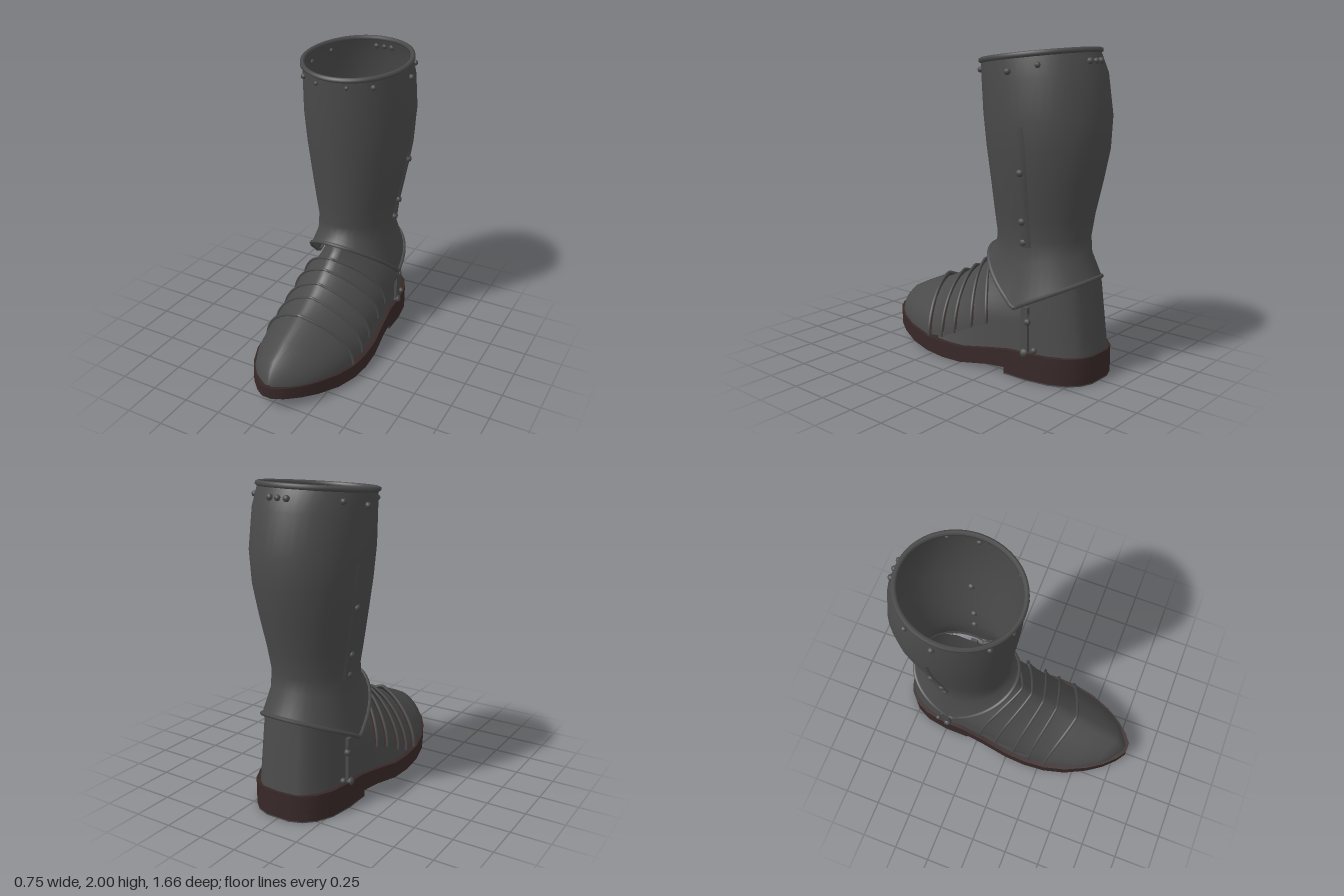
import * as THREE from 'three';
import { toCreasedNormals } from 'three/addons/utils/BufferGeometryUtils.js';

const V = (x, y, z) => new THREE.Vector3(x, y, z);
const lerp = THREE.MathUtils.lerp;

// Piecewise-linear lookup in [[key, value], ...] sorted by rising key
function lookup(table, k) {
  if (k <= table[0][0]) return table[0][1];
  for (let i = 1; i < table.length; i++) {
    const [a, va] = table[i - 1], [b, vb] = table[i];
    if (k <= b) return lerp(va, vb, (k - a) / (b - a));
  }
  return table[table.length - 1][1];
}

// Skin a list of cross-sections (rows of points); closed joins each row end to start
function skin(rows, closed) {
  const n = rows[0].length, index = [];
  for (let r = 0; r < rows.length - 1; r++) {
    for (let i = 0; i < (closed ? n : n - 1); i++) {
      const j = (i + 1) % n;
      const a = r * n + i, b = r * n + j, c = a + n, d = b + n;
      index.push(a, c, b, b, c, d);
    }
  }
  const g = new THREE.BufferGeometry().setFromPoints(rows.flat());
  g.setIndex(index);
  g.computeVertexNormals();
  return g;
}

export function createModel() {
  const grey = new THREE.MeshStandardMaterial({ color: 0x4a4a4a, side: THREE.DoubleSide });
  grey.name = 'darkSteel';
  const brown = new THREE.MeshStandardMaterial({ color: 0x382828, side: THREE.DoubleSide });
  brown.name = 'brownLeather';

  const boot = new THREE.Group();
  boot.name = 'boot';
  const add = (name, geometry, material = grey) => {
    const mesh = new THREE.Mesh(geometry, material);
    mesh.name = name;
    boot.add(mesh);
    return mesh;
  };
  const bead = (name, points, radius, closed) => add(name,
    new THREE.TubeGeometry(new THREE.CatmullRomCurve3(points, closed), points.length * 2, radius, 6, closed));

  // Shaft rings: front y, back y, front z, back z, half width, drop at the sides
  const rings = [
    [1.905, 1.983, 0.005, -0.73, 0.345, 0],
    [1.8, 1.85, 0, -0.79, 0.355, 0],
    [1.6, 1.6, -0.015, -0.828, 0.362, 0],
    [1.4, 1.4, -0.035, -0.82, 0.345, 0],
    [1.2, 1.2, -0.06, -0.78, 0.315, 0],
    [1.0, 1.0, -0.08, -0.735, 0.28, 0],
    [0.86, 0.86, -0.095, -0.715, 0.255, 0],
    [0.79, 0.77, -0.09, -0.722, 0.262, 0.09],
    [0.75, 0.63, -0.04, -0.785, 0.315, 0.24],
  ];
  const ringPoint = ([yf, yb, zf, zb, w, drop], a, out = 0) => {
    const c = Math.cos(a), k = (1 + c) / 2;
    return V((w + out) * Math.sin(a), lerp(yb, yf, k) - drop * (1 - Math.abs(c)),
      lerp(zb, zf, k) + out * c);
  };
  // Any shaft point by height and angle (0 = front)
  const shaftPoint = (y, a, out = 0) => {
    let i = 1;
    while (i < rings.length - 1 && ringPoint(rings[i], a).y > y) i++;
    const p = ringPoint(rings[i - 1], a, out), q = ringPoint(rings[i], a, out);
    return p.lerp(q, THREE.MathUtils.clamp((p.y - y) / (p.y - q.y), 0, 1));
  };
  const angles = Array.from({ length: 40 }, (_, i) => i / 40 * Math.PI * 2);
  add('shaft', skin(rings.map(r => angles.map(a => ringPoint(r, a))), true));
  bead('topRim', angles.map(a => ringPoint(rings[0], a)), 0.017, true);
  bead('ankleRim', angles.map(a => ringPoint(rings[8], a)), 0.014, true);

  // Side seams, hinge knuckles and rivets on the shaft
  const rivet = (y, a, r) => {
    const m = add('rivet', new THREE.SphereGeometry(r, 10, 8));
    m.position.copy(shaftPoint(y, a, 0.005));
  };
  for (const s of [1, -1]) {
    const heights = [1.55, 1.4, 1.25, 1.1, 0.95, 0.82];
    add('sideSeam', skin(heights.map((y, i) => [
      shaftPoint(y, s * 1.64, 0.002), shaftPoint(y, s * 1.66, 0.012),
      shaftPoint(y, s * (1.72 + i * 0.015), 0.012), shaftPoint(y, s * (1.78 + i * 0.015), 0.001)])));
    for (const y of [1.28, 0.98, 0.85]) rivet(y, s * 1.7, 0.024);
    rivet(1.86, s * 0.75, 0.018);
    rivet(1.86, s * 0.3, 0.014);
    rivet(1.86, s * 1.6, 0.02);
    rivet(1.9, s * 2.1, 0.018);
    rivet(1.92, Math.PI + s * 0.16, 0.02);
  }
  rivet(1.92, Math.PI, 0.018);

  // Foot arches: top z, top y, side z, side y, half width
  const arch = ([zt, yt, zs, ys, w], lift = 0) => Array.from({ length: 25 }, (_, i) => {
    const t = i / 24 * Math.PI, c = Math.cos(t), s = Math.sin(t);
    const h = 0.75 * s + 0.25 * (1 - Math.abs(c));
    return V((w + lift) * c, lerp(ys, yt + lift, h), lerp(zt, zs, Math.abs(c) ** 1.3));
  });
  const edges = [
    [0.41, 0.445, 0.29, 0.11, 0.325],
    [0.26, 0.5, 0.17, 0.13, 0.332],
    [0.16, 0.55, 0.06, 0.18, 0.33],
    [0.07, 0.61, -0.08, 0.25, 0.325],
    [0, 0.66, -0.2, 0.3, 0.318],
    [-0.07, 0.72, -0.52, 0.37, 0.295],
  ];
  add('toeCap', skin([
    [0.805, 0.17, 0.8, 0.15, 0.03],
    [0.775, 0.25, 0.725, 0.145, 0.135],
    [0.73, 0.295, 0.645, 0.14, 0.2],
    [0.6, 0.36, 0.5, 0.125, 0.272],
    edges[0],
  ].map(e => arch(e))));
  bead('toeCapRim', arch(edges[0], 0.004), 0.011, false);

  // Overlapping instep plates, each tucked under the one before
  for (let i = 0; i < 5; i++) {
    const a = edges[i], b = edges[i + 1];
    const mid = a.map((v, k) => lerp(v, b[k], 0.5));
    add('instepPlate', skin([arch(a, -0.022), arch(mid, -0.018), arch(b, 0)]));
    if (i < 4) bead('instepPlateRim', arch(b, 0.002), 0.009, false);
  }

  // Sole outline: z against half width
  const outline = [[-0.84, 0.08], [-0.81, 0.16], [-0.75, 0.225], [-0.65, 0.275], [-0.5, 0.3],
    [-0.35, 0.302], [-0.2, 0.318], [0, 0.345], [0.15, 0.353], [0.3, 0.343], [0.45, 0.308],
    [0.6, 0.24], [0.7, 0.175], [0.78, 0.1], [0.825, 0.035]];
  const soleTop = [[-0.84, 0.175], [-0.4, 0.17], [-0.2, 0.14], [0, 0.108], [0.25, 0.105],
    [0.5, 0.13], [0.83, 0.165]];
  const soleBottom = [[-0.84, 0.06], [-0.33, 0.045], [-0.2, 0.035], [0, 0.004], [0.2, 0.002],
    [0.4, 0.02], [0.6, 0.05], [0.83, 0.09]];

  // Box-section solid following the sole outline, closed at both ends
  const slab = (zs, bottom, top) => {
    const row = (z, flat) => {
      const w = lookup(outline, z), t = top(z), b = flat ? t : bottom(z);
      return [V(-w, b, z), V(w, b, z), V(w, t, z), V(-w, t, z)];
    };
    const rows = [row(zs[0], true), ...zs.map(z => row(z)), row(zs[zs.length - 1], true)];
    return toCreasedNormals(skin(rows, true), 0.7);
  };
  const stations = outline.map(p => p[0]);
  add('sole', slab(stations, z => lookup(soleBottom, z), z => lookup(soleTop, z)), brown);
  const heelZ = [...stations.filter(z => z < -0.34), -0.33];
  add('heelBlock', slab(heelZ, () => 0.008, () => 0.1), brown);
  add('heelPlate', slab(heelZ, () => 0, () => 0.008));

  // Heel counter wrapping around the back of the foot
  const wallTop = [[-0.83, 0.63], [-0.7, 0.6], [-0.5, 0.5], [-0.35, 0.42], [-0.2, 0.3], [0.22, 0.14]];
  const sideZ = [0.22, 0.1, -0.05, -0.2, -0.35, -0.5, -0.62, -0.72, -0.78, -0.815];
  const path = [...sideZ.map(z => [1, z]), [0, -0.828], ...sideZ.slice().reverse().map(z => [-1, z])];
  add('heelCounter', skin([0, 0.33, 0.67, 1].map(k => path.map(([s, z]) => {
    const x = s * (lookup(outline, z) - 0.025) * (1 - 0.07 * k);
    const back = THREE.MathUtils.clamp((-0.4 - z) / 0.4, 0, 1);
    return V(x, lerp(lookup(soleTop, z) - 0.02, lookup(wallTop, z), k), z + 0.055 * k * back);
  }))));

  // Ankle hinge straps
  for (const s of [1, -1]) {
    const strap = add('ankleStrap', new THREE.BoxGeometry(0.02, 0.32, 0.05));
    strap.position.set(s * 0.283, 0.3, -0.48);
    for (const [y, z, r] of [[0.17, -0.48, 0.03], [0.2, -0.55, 0.02], [0.37, -0.5, 0.022]]) {
      const stud = add('ankleStud', new THREE.SphereGeometry(r, 10, 8));
      stud.position.set(s * 0.285, y, z);
    }
  }
  return boot;
}
